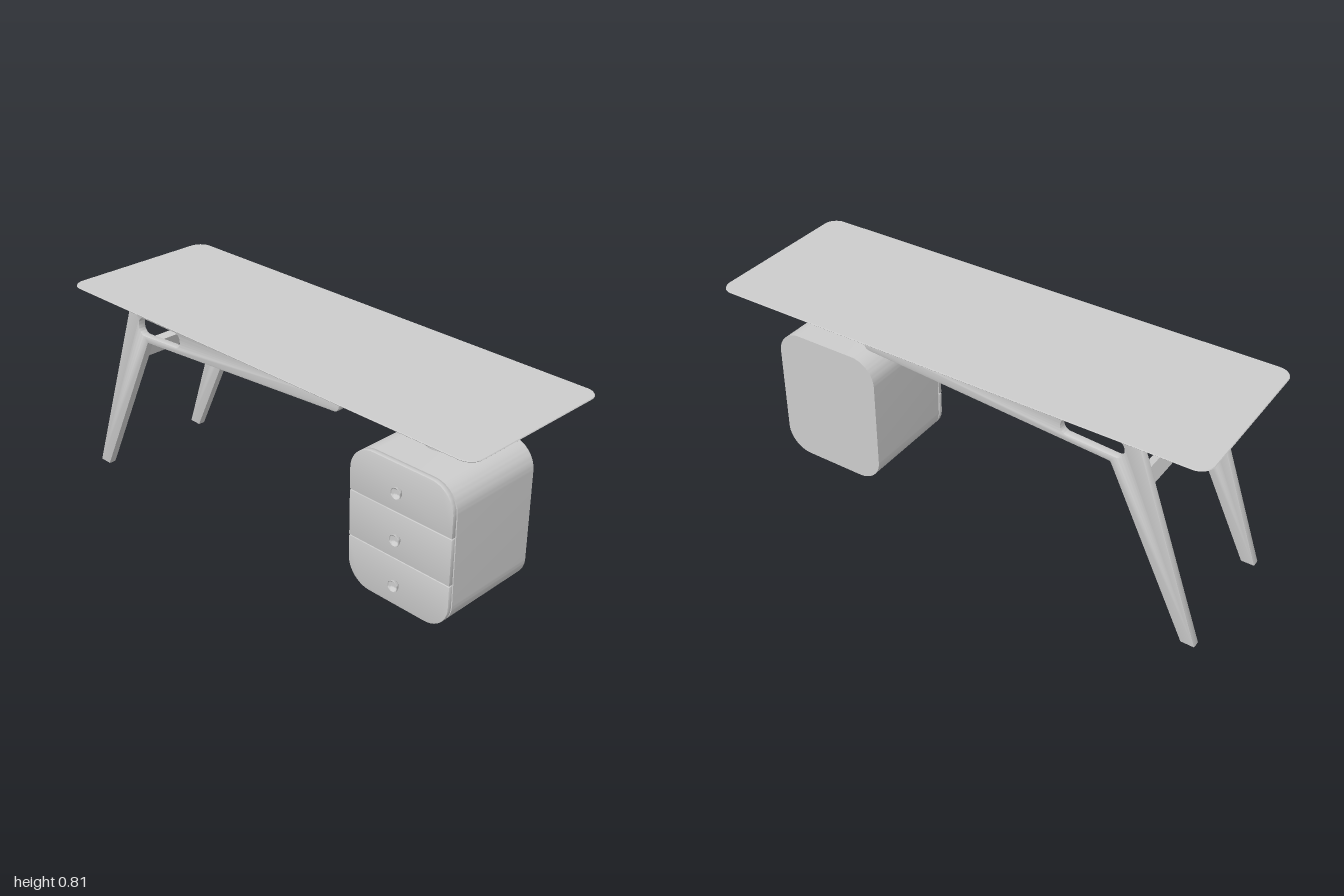
import * as THREE from 'three';
import { toCreasedNormals } from 'three/addons/utils/BufferGeometryUtils.js';

const grey = new THREE.MeshStandardMaterial({ color: 0xcccccc });
grey.name = 'light grey';

function add(parent, name, geometry, x = 0, y = 0, z = 0) {
  const mesh = new THREE.Mesh(geometry, grey);
  mesh.name = name;
  mesh.position.set(x, y, z);
  parent.add(mesh);
  return mesh;
}

// Closed outline with rounded corners; each corner is [x, y, radius]
function roundedPath(corners, path = new THREE.Shape()) {
  const n = corners.length;
  corners.forEach(([x, y, r], i) => {
    const p = new THREE.Vector2(x, y);
    const toward = (j) => {
      const q = new THREE.Vector2(corners[j][0], corners[j][1]);
      return q.sub(p).normalize();
    };
    const u = toward((i + n - 1) % n), v = toward((i + 1) % n);
    const cut = r / Math.tan(Math.acos(u.dot(v)) / 2);
    const a = p.clone().addScaledVector(u, cut);
    const b = p.clone().addScaledVector(v, cut);
    if (i === 0) path.moveTo(a.x, a.y); else path.lineTo(a.x, a.y);
    // Arc about the corner's inner centre
    const c = p.clone().addScaledVector(u.clone().add(v).normalize(), Math.hypot(cut, r));
    const start = Math.atan2(a.y - c.y, a.x - c.x), end = Math.atan2(b.y - c.y, b.x - c.x);
    path.absarc(c.x, c.y, r, start, end, u.cross(v) > 0);
  });
  path.closePath();
  return path;
}

function extrude(shape, depth, bevel = 0) {
  const g = new THREE.ExtrudeGeometry(shape, {
    depth: depth - 2 * bevel, curveSegments: 10, bevelEnabled: bevel > 0,
    bevelSize: bevel, bevelOffset: -bevel, bevelThickness: bevel, bevelSegments: 2,
  });
  g.translate(0, 0, bevel);
  return toCreasedNormals(g, 0.6);
}

// Rounded rectangle slab lofted through [y, halfWidth, halfDepth, radius] rings
function loftSlab(rings) {
  const steps = 8, pos = [], idx = [], n = 4 * (steps + 1);
  for (const [y, w, d, r] of rings) {
    for (let q = 0; q < 4; q++) {
      const sx = q === 0 || q === 3 ? 1 : -1, sz = q < 2 ? 1 : -1;
      for (let i = 0; i <= steps; i++) {
        const t = (q + i / steps) * Math.PI / 2;
        pos.push(sx * (w - r) + r * Math.cos(t), y, sz * (d - r) + r * Math.sin(t));
      }
    }
  }
  for (let k = 0; k < rings.length - 1; k++) {
    for (let i = 0; i < n; i++) {
      const a = k * n + i, b = k * n + (i + 1) % n;
      idx.push(a, a + n, b, b, a + n, b + n);
    }
  }
  const last = (rings.length - 1) * n;
  for (let i = 1; i < n - 1; i++) {
    idx.push(0, i, i + 1, last, last + i + 1, last + i);
  }
  const g = new THREE.BufferGeometry();
  g.setAttribute('position', new THREE.Float32BufferAttribute(pos, 3));
  g.setIndex(idx);
  return toCreasedNormals(g, 0.4);
}

export function createModel() {
  const desk = new THREE.Group();
  desk.name = 'desk';

  // Top with a wide bevel underneath
  add(desk, 'tabletop', loftSlab([
    [0.779, 0.95, 0.284, 0.03], [0.804, 0.997, 0.33, 0.052],
    [0.807, 1, 0.333, 0.055], [0.81, 0.998, 0.331, 0.053],
  ]));

  // Bent leg frames with a slot near the knee
  const frame = roundedPath([
    [-1, 0, 0.003], [-0.945, 0, 0.003], [-0.628, 0.655, 0.012],
    [0.385, 0.727, 0.025], [0.38, 0.779, 0.02], [-0.725, 0.779, 0.012],
  ]);
  frame.holes.push(roundedPath([
    [-0.676, 0.75, 0.03], [-0.436, 0.75, 0.027], [-0.436, 0.693, 0.027], [-0.676, 0.677, 0.03],
  ], new THREE.Path()));
  const frameGeometry = extrude(frame, 0.032, 0.004);
  add(desk, 'frontLegFrame', frameGeometry, 0, 0, 0.23);
  add(desk, 'backLegFrame', frameGeometry, 0, 0, -0.262);

  // Crossbar leaning with the legs
  const bar = add(desk, 'crossbar', new THREE.BoxGeometry(0.032, 0.06, 0.47), -0.728, 0.582, 0);
  bar.rotation.z = -0.33;

  // Drawer cabinet
  const cabinet = new THREE.Group();
  cabinet.name = 'cabinet';
  cabinet.position.x = 0.627;
  desk.add(cabinet);
  const w = 0.226, bottom = 0.057, top = 0.613, r = 0.1;
  const body = roundedPath([[-w, bottom, r], [w, bottom, r], [w, top, r], [-w, top, r]]);
  add(cabinet, 'cabinetBody', extrude(body, 0.4), 0, 0, -0.2);
  const i = w - 0.012;
  const core = roundedPath([
    [-i, bottom + 0.012, r], [i, bottom + 0.012, r], [i, top - 0.012, r], [-i, top - 0.012, r],
  ]);
  add(cabinet, 'drawerBacking', extrude(core, 0.008), 0, 0, 0.199);

  // Three drawer fronts with dished knobs
  const knobProfile = [];
  for (let k = 0; k <= 8; k++) {
    const t = k / 8 * Math.PI / 2;
    knobProfile.push(new THREE.Vector2(0.022 * Math.sin(t), 0.024 - 0.024 * Math.cos(t)));
  }
  for (let k = 8; k >= 0; k--) {
    const t = k / 8 * Math.PI / 2;
    knobProfile.push(new THREE.Vector2(0.021 * Math.sin(t), 0.024 - 0.014 * Math.cos(t)));
  }
  const knob = toCreasedNormals(new THREE.LatheGeometry(knobProfile, 24), 0.8);
  knob.rotateX(Math.PI / 2);
  const drawers = [
    ['bottomDrawer', bottom, 0.242, r, 0.001, 0.147],
    ['middleDrawer', 0.246, 0.426, 0.001, 0.001, 0.332],
    ['topDrawer', 0.43, top, 0.001, r, 0.515],
  ];
  for (const [name, y0, y1, r0, r1, knobY] of drawers) {
    const face = roundedPath([[-w, y0, r0], [w, y0, r0], [w, y1, r1], [-w, y1, r1]]);
    add(cabinet, name, extrude(face, 0.017, 0.001), 0, 0, 0.205);
    add(cabinet, name + 'Knob', knob, 0, knobY, 0.2215);
  }

  // Plinth, collar and post up to the top
  const plinth = roundedPath([
    [-0.125, -0.125, 0.008], [0.125, -0.125, 0.008], [0.125, 0.125, 0.008], [-0.125, 0.125, 0.008],
  ]);
  const plinthGeometry = extrude(plinth, 0.06);
  plinthGeometry.rotateX(-Math.PI / 2);
  add(cabinet, 'plinth', plinthGeometry);
  add(cabinet, 'postCollar', new THREE.CylinderGeometry(0.072, 0.072, 0.017, 40), 0, 0.62, 0);
  add(cabinet, 'post', new THREE.CylinderGeometry(0.024, 0.024, 0.16, 28), 0, 0.703, 0);

  return desk;
}
